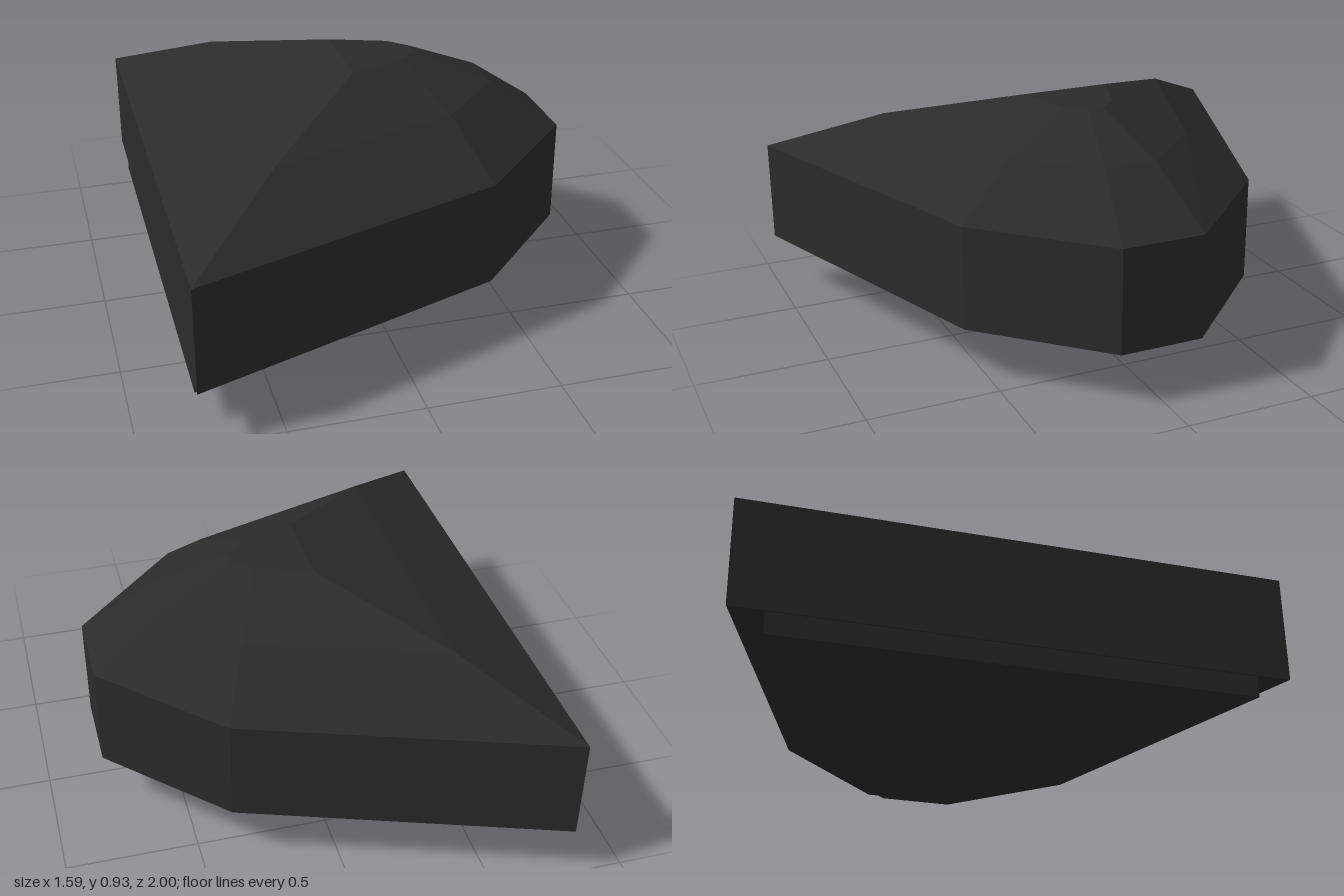
import * as THREE from 'three';

// Each level is [y, backX, backZ, midX, midZ, frontX, frontZ]; mirrored across z into a six-sided ring.
function ring([y, ax, az, bx, bz, cx, cz]) {
  const half = [[ax, az], [bx, bz], [cx, cz]];
  const mirrored = half.map(([x, z]) => [x, -z]).reverse();
  return [...half, ...mirrored].map(([x, z]) => [x, y, z]);
}

// Joins the levels from bottom to top and closes both ends.
function loft(levels) {
  const rings = levels.map(ring);
  const n = rings[0].length;
  const pos = [];
  const tri = (a, b, c) => pos.push(...a, ...b, ...c);
  for (let k = 0; k < rings.length - 1; k++) {
    const lo = rings[k], hi = rings[k + 1];
    for (let i = 0; i < n; i++) {
      const j = (i + 1) % n;
      tri(lo[i], lo[j], hi[j]);
      tri(lo[i], hi[j], hi[i]);
    }
  }
  const bottom = rings[0], top = rings[rings.length - 1];
  for (let i = 1; i < n - 1; i++) {
    tri(bottom[0], bottom[i + 1], bottom[i]);
    tri(top[0], top[i], top[i + 1]);
  }
  const geometry = new THREE.BufferGeometry();
  geometry.setAttribute('position', new THREE.Float32BufferAttribute(pos, 3));
  geometry.computeVertexNormals();
  return geometry;
}

export function createModel() {
  const group = new THREE.Group();
  group.name = 'wedgeShell';
  const material = new THREE.MeshStandardMaterial({ color: 0x2b2b2b, flatShading: true });
  const add = (name, levels) => {
    const mesh = new THREE.Mesh(loft(levels), material);
    mesh.name = name;
    group.add(mesh);
  };

  // Upper shell: straight wall topped by a faceted dome
  add('upperShell', [
    [0.21, -0.795, 1, 0.38, 0.585, 0.795, 0.16],
    [0.61, -0.795, 1, 0.38, 0.585, 0.795, 0.16],
    [0.80, -0.435, 0.605, 0.28, 0.36, 0.53, 0.10],
    [0.93, -0.04, 0.175, 0.17, 0.10, 0.24, 0.03],
  ]);

  // Lower hull: inset wall over a shallow faceted keel
  add('lowerHull', [
    [0, -0.13, 0.16, 0.06, 0.10, 0.13, 0.03],
    [0.06, -0.47, 0.53, 0.15, 0.32, 0.38, 0.085],
    [0.13, -0.787, 0.875, 0.24, 0.515, 0.605, 0.14],
    [0.21, -0.787, 0.875, 0.24, 0.515, 0.605, 0.14],
  ]);

  return group;
}
